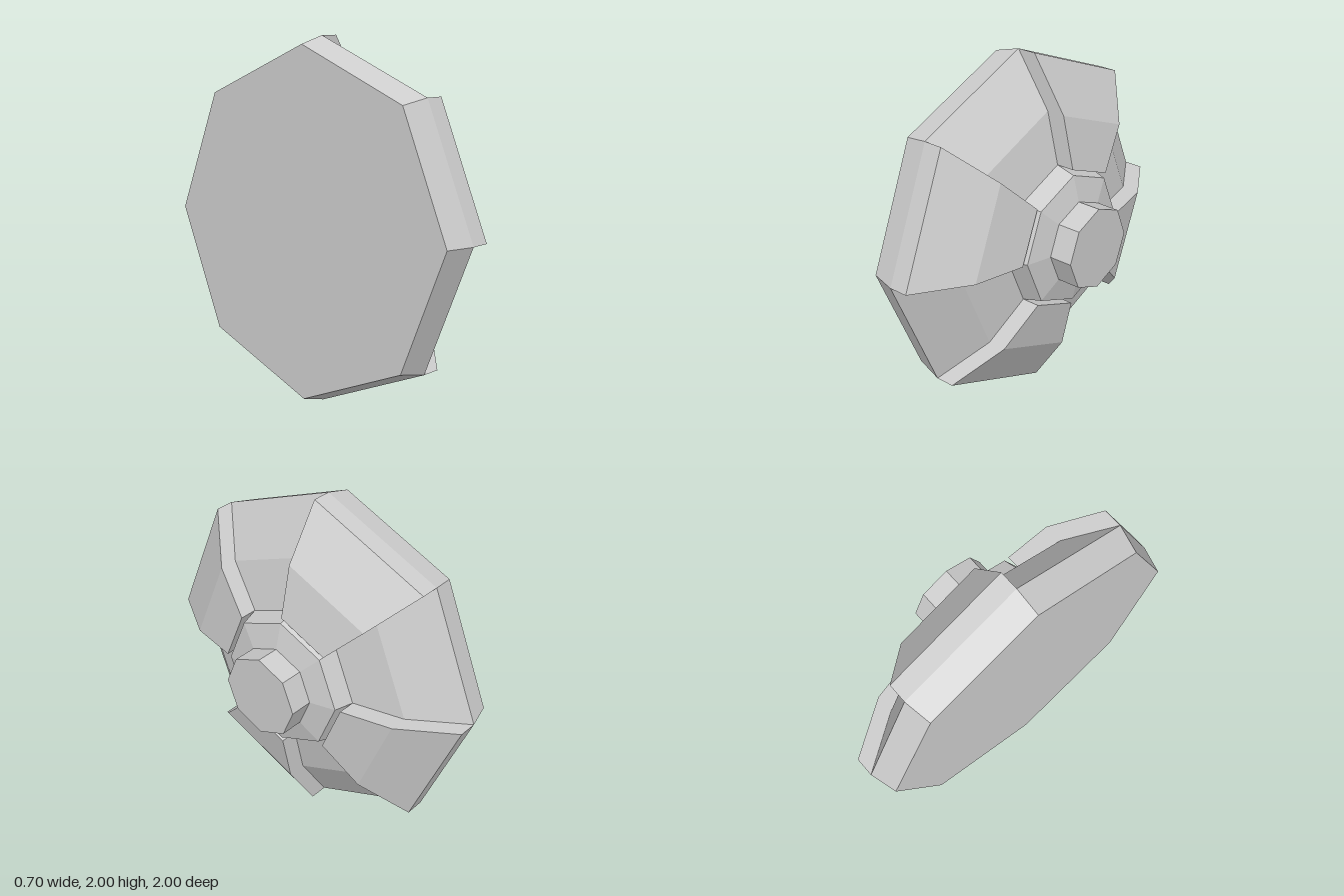
import * as THREE from 'three';

const SIDES = 8;
const STEP = (Math.PI * 2) / SIDES;
const toPoints = (list) => list.map(([r, h]) => new THREE.Vector2(r, h));

export function createModel() {
  const model = new THREE.Group();
  model.name = 'octagonalDisc';
  const grey = new THREE.MeshStandardMaterial({ color: 0xcccccc, flatShading: true });
  const greyDouble = new THREE.MeshStandardMaterial({ color: 0xcccccc, flatShading: true, side: THREE.DoubleSide });

  // Everything is turned about the y axis, then tipped so that axis points to +x
  const turned = new THREE.Group();
  turned.name = 'disc';
  turned.rotation.z = -Math.PI / 2;
  turned.position.y = 1;
  model.add(turned);

  const addLathe = (name, profile, parent = turned, segments = SIDES, start = 0) => {
    const geometry = new THREE.LatheGeometry(toPoints(profile), segments, start, segments * STEP);
    const mesh = new THREE.Mesh(geometry, grey);
    mesh.name = name;
    parent.add(mesh);
  };

  // Flat back, bevelled rim and low front face
  addLathe('body', [[0, -0.355], [0.957, -0.355], [1, -0.2], [0.7, 0], [0.41, 0.068]]);
  // Central collar and knob
  addLathe('collar', [[0.41, 0.068], [0.38, 0.178], [0.236, 0.215]]);
  addLathe('knob', [[0.236, 0.215], [0.236, 0.35], [0, 0.35]]);

  // Raised panels on every other sector, with radial side walls
  const raised = [[1, -0.2], [1, -0.09], [0.7, 0.107], [0.41, 0.172], [0.41, 0.068]];
  const section = new THREE.ShapeGeometry(new THREE.Shape(toPoints([...raised, [0.7, 0]])));
  for (let i = 0; i < SIDES / 2; i++) {
    const start = (2 * i - 1) * STEP;
    const panel = new THREE.Group();
    panel.name = `raisedPanel${i + 1}`;
    addLathe('panelFace', raised, panel, 1, start);
    for (const phi of [start, start + STEP]) {
      const wall = new THREE.Mesh(section, greyDouble);
      wall.name = 'panelSide';
      wall.rotation.y = phi - Math.PI / 2;
      panel.add(wall);
    }
    turned.add(panel);
  }
  return model;
}
